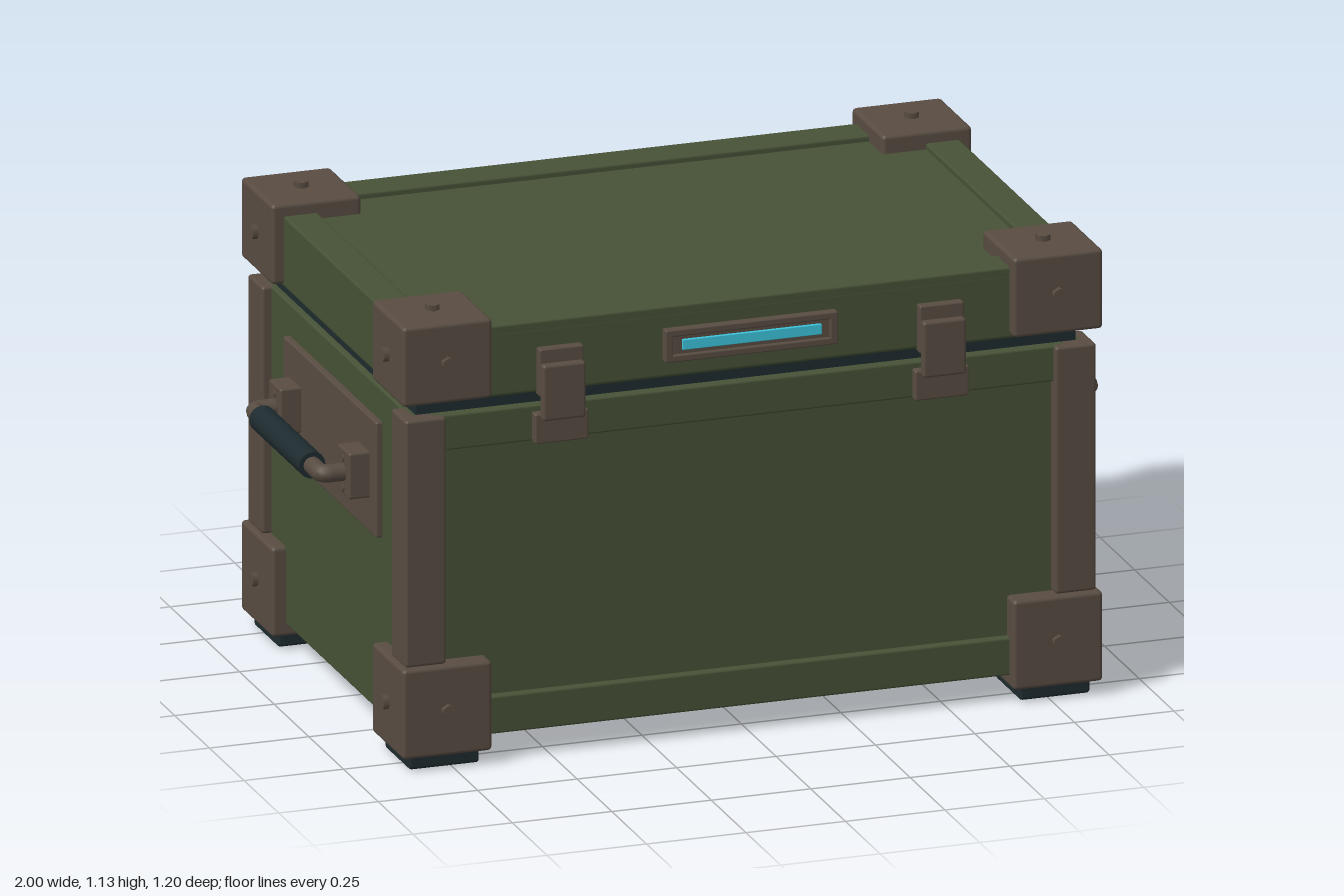
import * as THREE from 'three';
import { RoundedBoxGeometry } from 'three/addons/geometries/RoundedBoxGeometry.js';

const material = (name, color) => {
  const m = new THREE.MeshStandardMaterial({ color });
  m.name = name;
  return m;
};

export function createModel() {
  const crate = new THREE.Group();
  crate.name = 'storageCrate';
  const green = material('olive green', 0x465236);
  const brown = material('brown metal', 0x584c42);
  const rubber = material('dark rubber', 0x1e2b2f);
  const cyan = material('cyan light', 0x3cc4dc);
  const signs = [-1, 1];

  function add(name, geometry, mat, parent = crate) {
    const mesh = new THREE.Mesh(geometry, mat);
    mesh.name = name;
    parent.add(mesh);
    return mesh;
  }
  // Softly bevelled block given by its centre and size
  function block(name, mat, [x, y, z], [w, h, d], r = 0.006, parent = crate) {
    const mesh = add(name, new RoundedBoxGeometry(w, h, d, 2, r), mat, parent);
    mesh.position.set(x, y, z);
    return mesh;
  }
  // Cylinder centred at a point and pointing along an axis
  function rod(name, mat, [x, y, z], axis, r, length, sides, parent = crate) {
    const g = new THREE.CylinderGeometry(r, r, length, sides);
    if (axis === 'x') g.rotateZ(Math.PI / 2);
    if (axis === 'z') g.rotateX(Math.PI / 2);
    const mesh = add(name, g, mat, parent);
    mesh.position.set(x, y, z);
    return mesh;
  }

  // Body, seal and lid
  block('body', green, [0, 0.4725, 0], [1.69, 0.815, 1.07]);
  block('seal', rubber, [0, 0.895, 0], [1.66, 0.06, 1.06], 0.004);
  block('lid', green, [0, 0.9925, 0], [1.7, 0.165, 1.11], 0.01);

  // Raised rails framing the front, the back and the lid top
  for (const s of signs) {
    block('bodyTopRail', green, [0, 0.835, s * 0.535], [1.6, 0.09, 0.04]);
    block('bodyBottomRail', green, [0, 0.1125, s * 0.535], [1.6, 0.095, 0.04]);
    block('lidLongRail', green, [0, 1.075, s * 0.507], [1.7, 0.03, 0.095]);
    block('lidShortRail', green, [s * 0.807, 1.075, 0], [0.086, 0.03, 1.0]);
  }

  // Corner posts, guards, bolts and feet
  for (const sx of signs) for (const sz of signs) {
    const corner = new THREE.Group();
    corner.name = 'corner';
    crate.add(corner);
    const x = sx * 0.7675, z = sz * 0.4725;
    block('post', brown, [sx * 0.817, 0.57, sz * 0.517], [0.103, 0.62, 0.106], 0.008, corner);
    block('lowerGuard', brown, [x, 0.1475, z], [0.225, 0.225, 0.225], 0.01, corner);
    block('upperGuard', brown, [x, 1.02, z], [0.225, 0.2, 0.225], 0.01, corner);
    block('foot', rubber, [x, 0.0225, z], [0.177, 0.045, 0.177], 0.008, corner);
    for (const y of [0.1475, 1.02]) {
      rod('sideBolt', brown, [sx * 0.88, y, z], 'x', 0.018, 0.028, 6, corner);
      rod('faceBolt', brown, [x, y, sz * 0.585], 'z', 0.018, 0.028, 6, corner);
    }
    rod('topBolt', brown, [x, 1.12, z], 'y', 0.018, 0.028, 6, corner);
  }

  // Carrying handle on each end
  for (const s of signs) {
    const handle = new THREE.Group();
    handle.name = 'handle';
    crate.add(handle);
    block('handlePlate', brown, [s * 0.849, 0.655, 0], [0.024, 0.29, 0.67], 0.005, handle);
    for (const sz of signs) {
      block('handleBracket', brown, [s * 0.885, 0.655, sz * 0.248], [0.056, 0.116, 0.085], 0.006, handle);
      for (const dy of [-0.04, 0.035])
        rod('rivet', brown, [s * 0.913, 0.655 + dy, sz * 0.248], 'x', 0.009, 0.008, 12, handle);
    }
    const path = new THREE.CurvePath();
    const p = (x, z) => new THREE.Vector3(s * x, 0.655, z);
    path.add(new THREE.LineCurve3(p(0.9, 0.248), p(0.945, 0.248)));
    path.add(new THREE.QuadraticBezierCurve3(p(0.945, 0.248), p(0.967, 0.248), p(0.967, 0.226)));
    path.add(new THREE.LineCurve3(p(0.967, 0.226), p(0.967, -0.226)));
    path.add(new THREE.QuadraticBezierCurve3(p(0.967, -0.226), p(0.967, -0.248), p(0.945, -0.248)));
    path.add(new THREE.LineCurve3(p(0.945, -0.248), p(0.9, -0.248)));
    add('handleBar', new THREE.TubeGeometry(path, 80, 0.022, 14), brown, handle);
    rod('handleGrip', rubber, [s * 0.967, 0.655, 0], 'x', 0.033, 0.36, 24, handle).rotation.y = Math.PI / 2;
  }

  // Front latches
  for (const s of signs) {
    const latch = new THREE.Group();
    latch.name = 'latch';
    crate.add(latch);
    const x = s * 0.478;
    block('latchBase', brown, [x, 0.965, 0.562], [0.112, 0.12, 0.03], 0.005, latch);
    block('latchLever', brown, [x, 0.92, 0.585], [0.108, 0.14, 0.026], 0.007, latch);
    block('latchCatch', brown, [x, 0.826, 0.563], [0.135, 0.076, 0.03], 0.005, latch);
  }

  // Status light with a raised frame
  const lamp = new THREE.Group();
  lamp.name = 'statusLight';
  crate.add(lamp);
  block('lightBacking', brown, [0, 0.995, 0.557], [0.42, 0.07, 0.022], 0.003, lamp);
  for (const s of signs) {
    block('lightFrameBar', brown, [0, 0.995 + s * 0.032, 0.562], [0.434, 0.018, 0.03], 0.004, lamp);
    block('lightFrameEnd', brown, [s * 0.207, 0.995, 0.562], [0.02, 0.08, 0.03], 0.004, lamp);
  }
  block('lightStrip', cyan, [0, 0.997, 0.575], [0.35, 0.026, 0.009], 0.002, lamp);

  return crate;
}
